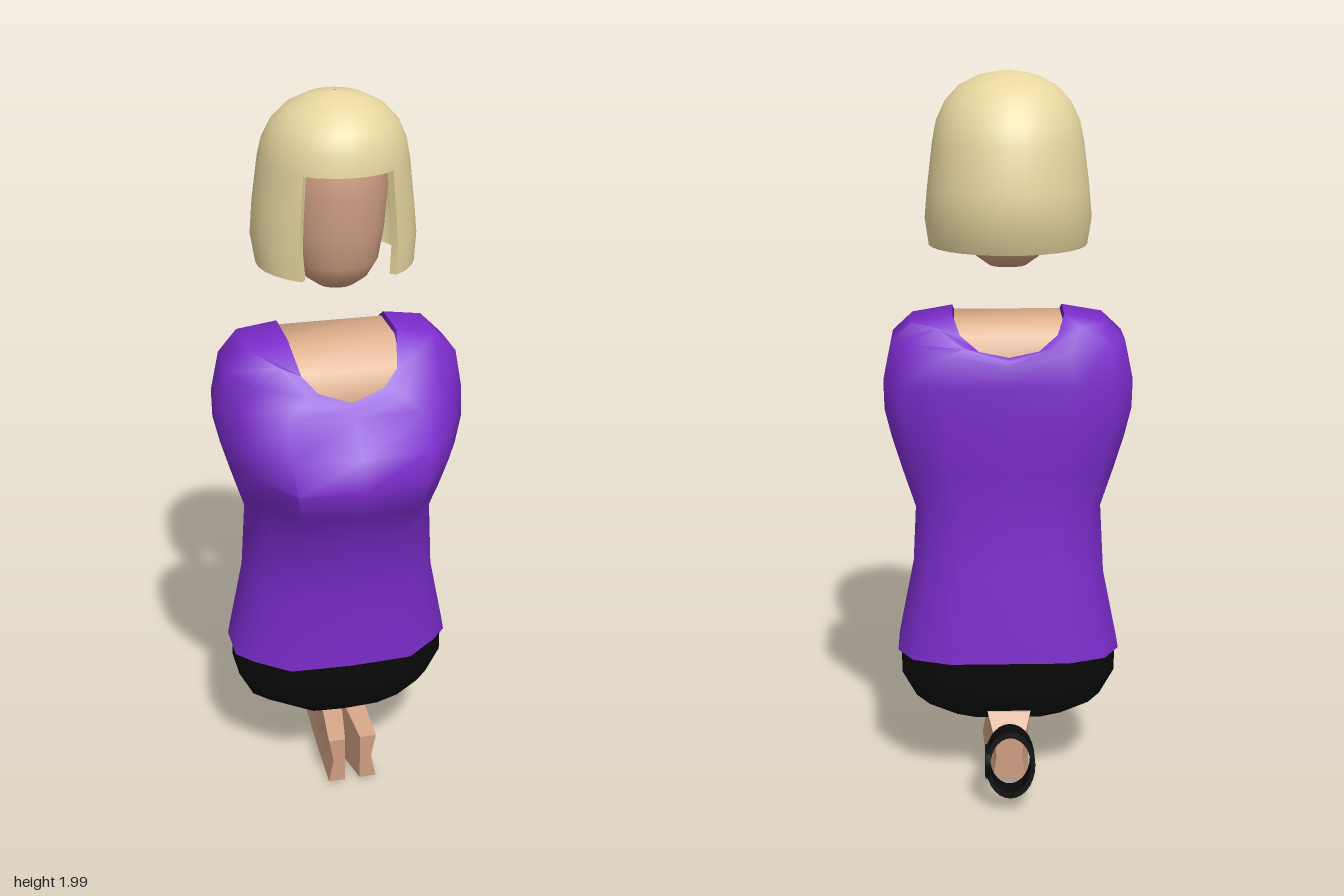
import * as THREE from 'three';
import { toCreasedNormals } from 'three/addons/utils/BufferGeometryUtils.js';

const mat = (color, extra = {}) => new THREE.MeshStandardMaterial({ color, side: THREE.DoubleSide, ...extra });

function part(name, geometry, material) {
  const mesh = new THREE.Mesh(geometry, material);
  mesh.name = name;
  return mesh;
}

function fromFaces(points, index, crease) {
  const g = new THREE.BufferGeometry();
  g.setAttribute('position', new THREE.Float32BufferAttribute(points.flat(), 3));
  g.setIndex(index);
  return toCreasedNormals(g, crease);
}

// Skins closed rings of equal length, optionally closing each end with a fan
function loft(rings, capStart, capEnd, crease = 1.1) {
  const n = rings[0].length, points = rings.flat(), index = [];
  for (let i = 0; i < rings.length - 1; i++) {
    for (let j = 0; j < n; j++) {
      const k = (j + 1) % n, a = i * n + j, b = i * n + k;
      index.push(a, b, b + n, a, b + n, a + n);
    }
  }
  const cap = (row, flip) => {
    const c = points.length, ring = rings[row];
    points.push([0, 1, 2].map((d) => ring.reduce((s, p) => s + p[d], 0) / n));
    for (let j = 0; j < n; j++) {
      const a = row * n + j, b = row * n + (j + 1) % n;
      index.push(c, ...(flip ? [b, a] : [a, b]));
    }
  };
  if (capStart) cap(0, true);
  if (capEnd) cap(rings.length - 1, false);
  return fromFaces(points, index, crease);
}

// Completes a half ring (front middle to back middle) by mirroring
const mirrored = (half) => [...half, ...half.slice(1, -1).reverse().map(([x, y, z]) => [-x, y, z])];

// Body cross-section: fractions of half width, and of front or back depth
const SECTION = [[0, 1], [0.56, 0.95], [0.85, 0.53], [1, 0.22], [1, -0.43], [0.86, -0.81], [0.53, -1], [0, -1]];
const bodyRing = ([y, w, front, back]) =>
  mirrored(SECTION.map(([u, v]) => [u * w, y, v > 0 ? v * front : v * back]));

function makeShirt() {
  const body = [
    [0.4, 0.31, 0.175, 0.2], [0.43, 0.305, 0.175, 0.198], [0.63, 0.265, 0.185, 0.19], [0.82, 0.255, 0.21, 0.17],
    [0.93, 0.29, 0.285, 0.18], [1.02, 0.317, 0.327, 0.185], [1.1, 0.336, 0.292, 0.187], [1.18, 0.338, 0.21, 0.187],
  ].map(bodyRing);
  // Shoulder rings, then the scooped neckline
  const shoulders = [
    [[0, 1.197, 0.185], [0.15, 1.215, 0.175], [0.25, 1.26, 0.13], [0.315, 1.29, 0.06],
      [0.315, 1.29, -0.08], [0.27, 1.29, -0.14], [0.16, 1.27, -0.18], [0, 1.235, -0.185]],
    [[0, 1.204, 0.175], [0.115, 1.235, 0.165], [0.19, 1.31, 0.115], [0.26, 1.343, 0.05],
      [0.26, 1.343, -0.1], [0.19, 1.335, -0.14], [0.12, 1.285, -0.167], [0, 1.25, -0.178]],
    [[0, 1.21, 0.168], [0.09, 1.242, 0.158], [0.13, 1.285, 0.135], [0.15, 1.362, 0.05],
      [0.15, 1.362, -0.09], [0.13, 1.315, -0.14], [0.08, 1.275, -0.16], [0, 1.26, -0.168]],
  ].map(mirrored);
  return loft([...body, ...shoulders], false, false);
}

function makeNeckSkin() {
  const profile = [[0.15, 1.17], [0.155, 1.21], [0.125, 1.285], [0.05, 1.35], [-0.09, 1.35], [-0.13, 1.31], [-0.155, 1.25], [-0.16, 1.17]];
  const shape = new THREE.Shape(profile.map(([z, y]) => new THREE.Vector2(-z, y)));
  const g = new THREE.ExtrudeGeometry(shape, { depth: 0.29, bevelEnabled: false });
  g.rotateY(Math.PI / 2).translate(-0.145, 0, 0);
  return toCreasedNormals(g, 0.9);
}

function makeHips() {
  return loft([
    [0.195, 0.11, 0.08, 0.09], [0.21, 0.17, 0.1, 0.13], [0.255, 0.26, 0.14, 0.165],
    [0.33, 0.3, 0.152, 0.178], [0.42, 0.3, 0.163, 0.188],
  ].map(bodyRing), true, true);
}

// Hair shell: rows are y, half width, centre z, half depth
function makeHair() {
  const rows = [
    [1.545, 0.212, -0.038, 0.207], [1.62, 0.222, -0.056, 0.224], [1.7, 0.215, -0.058, 0.222], [1.82, 0.2, -0.051, 0.211],
    [1.87, 0.19, -0.044, 0.2], [1.92, 0.167, -0.037, 0.175], [1.96, 0.13, -0.033, 0.135], [1.988, 0.075, -0.03, 0.08], [2, 0.004, -0.03, 0.004],
  ];
  const n = 30, count = rows.length, points = [], index = [];
  for (const s of [1, 0.9]) {
    rows.forEach(([y, w, c, d], i) => {
      for (let j = 0; j < n; j++) {
        const a = (j / n) * Math.PI * 2;
        points.push([Math.sin(a) * w * s, s < 1 ? y - Math.max(0, i - 3) * 0.006 : y, c + Math.cos(a) * d * s]);
      }
    });
  }
  const id = (shell, i, j) => shell * count * n + i * n + ((j + n) % n);
  const quad = (a, b, c, d) => index.push(a, b, c, a, c, d);
  // The face opening lies below the fringe, three columns to each side
  const solid = (i, j) => i >= 0 && (i >= 3 || ((j + n) % n >= 3 && (j + n) % n < n - 3));
  for (let i = 0; i < count - 1; i++) {
    for (let j = 0; j < n; j++) {
      if (!solid(i, j)) continue;
      quad(id(0, i, j), id(0, i, j + 1), id(0, i + 1, j + 1), id(0, i + 1, j));
      quad(id(1, i, j + 1), id(1, i, j), id(1, i + 1, j), id(1, i + 1, j + 1));
      if (!solid(i - 1, j)) quad(id(1, i, j), id(1, i, j + 1), id(0, i, j + 1), id(0, i, j));
      if (!solid(i, j - 1)) quad(id(1, i, j), id(0, i, j), id(0, i + 1, j), id(1, i + 1, j));
      if (!solid(i, j + 1)) quad(id(0, i, j + 1), id(1, i, j + 1), id(1, i + 1, j + 1), id(0, i + 1, j + 1));
    }
  }
  return fromFaces(points, index, 0.9);
}

function makeHead() {
  const profile = [[0, 1.48], [0.05, 1.485], [0.085, 1.51], [0.112, 1.555], [0.127, 1.64], [0.135, 1.75], [0.13, 1.85], [0.09, 1.92], [0, 1.94]];
  const g = new THREE.LatheGeometry(profile.map(([r, y]) => new THREE.Vector2(r, y)), 24);
  return g.scale(1, 1, 0.95).translate(0, 0, -0.02);
}

// One hand, thin and upright: rows are z, bottom, top, inner x, outer x
function makeHand() {
  return loft([
    [-0.195, 0.055, 0.19, 0, 0.045], [-0.16, 0.04, 0.24, 0, 0.06], [-0.02, 0.01, 0.215, 0, 0.06],
    [0.08, 0.012, 0.195, 0.006, 0.064], [0.185, 0.02, 0.16, 0.022, 0.07],
  ].map(([z, b, t, inner, outer]) => [
    [inner, b, z], [outer, b, z], [outer * 0.8, (b + t) / 2, z], [outer, t, z], [inner, t, z],
  ]), true, true, 0.3);
}

function makeWatch() {
  const black = mat(0x0a0a0a);
  const watch = new THREE.Group();
  watch.name = 'watch';
  // Oval strap
  const profile = [[0.82, -0.035], [1, -0.035], [1, 0.035], [0.82, 0.035], [0.82, -0.035]].map(([r, y]) => new THREE.Vector2(r, y));
  const strap = toCreasedNormals(new THREE.LatheGeometry(profile, 28).rotateX(Math.PI / 2).scale(0.068, 0.095, 1), 0.6);
  // Round case on the side of the strap
  const dial = new THREE.CylinderGeometry(0.045, 0.05, 0.014, 20).rotateZ(-Math.PI / 2).translate(0.062, 0, 0);
  watch.add(part('watchStrap', strap, black), part('watchCase', dial, black));
  watch.position.set(0, 0.145, -0.277);
  watch.rotation.x = 0.1;
  return watch;
}

export function createModel() {
  const model = new THREE.Group();
  model.name = 'figure';
  const skin = mat(0xcf9f82);
  model.add(
    part('hair', makeHair(), mat(0xe8d7a0)),
    part('head', makeHead(), skin),
    part('neckSkin', makeNeckSkin(), mat(0xd9ab88)),
    part('shirt', makeShirt(), mat(0x7b2ccb)),
    part('hips', makeHips(), mat(0x0a0a0a)),
    makeWatch(),
  );
  for (const side of [1, -1]) {
    const hand = part(side > 0 ? 'leftHand' : 'rightHand', makeHand(), skin);
    hand.scale.x = side;
    model.add(hand);
  }
  return model;
}
